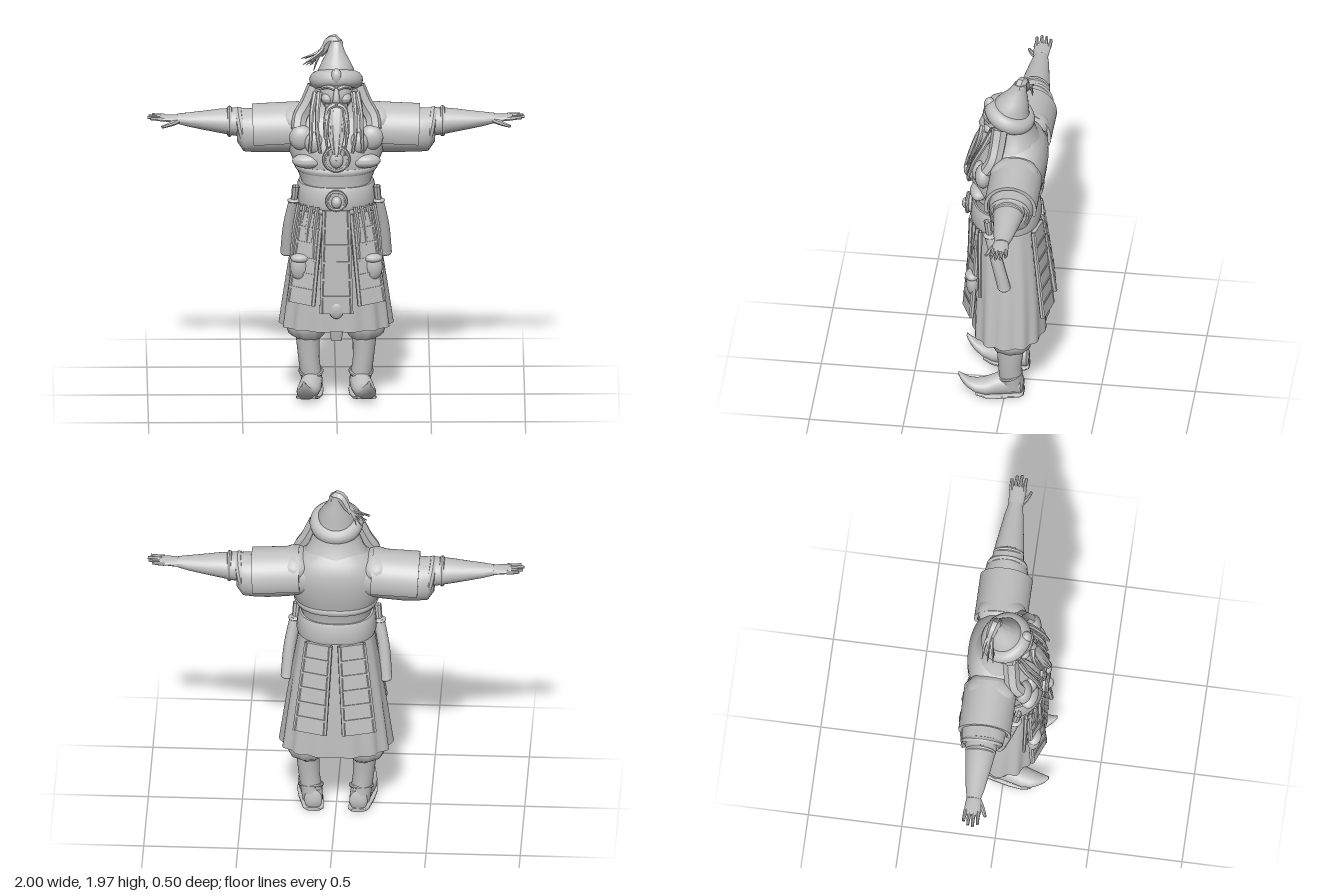
import * as THREE from 'three';
import { toCreasedNormals } from 'three/addons/utils/BufferGeometryUtils.js';

const V = (p) => new THREE.Vector3(...p);

// Capped loft of superellipse rings [u, c1, c2, r1, r2]; u must ascend.
// axis y: c1 = x, c2 = z.  axis x: c1 = z, c2 = y.  axis z: c1 = y, c2 = x.
function loft(axis, rings, { n = 28, e = 2, ripple = 0, waves = 14 } = {}) {
  const pos = [], idx = [];
  const put = (u, a, b) => pos.push(...(axis === 'y' ? [a, u, b] : axis === 'x' ? [u, b, a] : [b, a, u]));
  const pw = (v) => Math.sign(v) * Math.abs(v) ** (2 / e);
  rings.forEach(([u, c1, c2, r1, r2], i) => {
    for (let j = 0; j < n; j++) {
      const t = (j / n) * Math.PI * 2;
      const k = 1 + ripple * Math.cos(t * waves) * (1 - i / (rings.length - 1));
      put(u, c1 + r1 * k * pw(Math.cos(t)), c2 + r2 * k * pw(Math.sin(t)));
    }
  });
  const last = rings.length - 1;
  for (let i = 0; i < last; i++) for (let j = 0; j < n; j++) {
    const a = i * n + j, b = i * n + (j + 1) % n;
    idx.push(a, a + n, b, b, a + n, b + n);
  }
  for (const i of [0, last]) {
    const c = pos.length / 3;
    put(rings[i][0], rings[i][1], rings[i][2]);
    for (let j = 0; j < n; j++) {
      const a = i * n + j, b = i * n + (j + 1) % n;
      idx.push(c, ...(i ? [b, a] : [a, b]));
    }
  }
  const g = new THREE.BufferGeometry();
  g.setAttribute('position', new THREE.Float32BufferAttribute(pos, 3));
  g.setIndex(idx);
  return g;
}

// Tapered tube through a few points
function strand(points, r0, r1, seg = 12, sides = 7) {
  const curve = new THREE.CatmullRomCurve3(points.map(V));
  const g = new THREE.TubeGeometry(curve, seg, 1, sides);
  const p = g.attributes.position, v = new THREE.Vector3();
  for (let i = 0; i < p.count; i++) {
    const t = Math.floor(i / (sides + 1)) / seg, c = curve.getPointAt(t);
    v.fromBufferAttribute(p, i).sub(c).multiplyScalar(r0 + (r1 - r0) * t).add(c);
    p.setXYZ(i, v.x, v.y, v.z);
  }
  return g;
}

const ball = (x, y, z, rx, ry, rz) => new THREE.SphereGeometry(1, 20, 14).scale(rx, ry, rz).translate(x, y, z);

function mirrored(geo) {
  const g = geo.index ? geo.toNonIndexed() : geo.clone();
  g.scale(-1, 1, 1);
  const p = g.attributes.position, a = new THREE.Vector3(), b = new THREE.Vector3();
  for (let i = 0; i < p.count; i += 3) {
    a.fromBufferAttribute(p, i + 1); b.fromBufferAttribute(p, i + 2);
    p.setXYZ(i + 1, b.x, b.y, b.z); p.setXYZ(i + 2, a.x, a.y, a.z);
  }
  return g;
}

export function createModel() {
  const root = new THREE.Group();
  root.name = 'robedWarrior';
  const clay = new THREE.MeshStandardMaterial({ color: 0xc0c0c0, side: THREE.DoubleSide });
  clay.name = 'clayGrey';
  const add = (name, geo) => {
    const g = geo.index ? geo.toNonIndexed() : geo;
    const clean = new THREE.BufferGeometry().setAttribute('position', g.attributes.position);
    const m = new THREE.Mesh(toCreasedNormals(clean, 0.75), clay);
    m.name = name;
    root.add(m);
  };
  const pair = (name, geo) => {
    const other = mirrored(geo);
    add(name + 'Left', geo);
    add(name + 'Right', other);
  };

  // Torso, collar and robe skirt
  add('torso', loft('y', [[1.08, 0, .01, .2, .17], [1.2, 0, .01, .185, .165], [1.28, 0, 0, .215, .18],
    [1.36, 0, -.005, .25, .195], [1.44, 0, -.02, .255, .19], [1.52, 0, -.04, .24, .17],
    [1.58, 0, -.055, .19, .13], [1.62, 0, -.05, .13, .1]], { n: 40, e: 2.3 }));
  add('hoodDrape', loft('y', [[1.52, 0, -.045, .2, .165], [1.57, 0, -.045, .185, .14], [1.62, 0, -.04, .15, .115],
    [1.68, 0, -.03, .125, .105], [1.74, 0, -.02, .11, .1]], { n: 36 }));
  add('skirt', loft('y', [[.4, 0, -.015, .295, .195], [.6, 0, -.012, .27, .19], [.85, 0, -.005, .235, .18],
    [1.1, 0, .01, .195, .17]], { n: 84, e: 2.4, ripple: .035 }));
  add('belt', loft('y', [[1.08, 0, .01, .208, .183], [1.1, 0, .01, .213, .188], [1.18, 0, .01, .205, .18],
    [1.2, 0, .01, .197, .172]], { n: 40, e: 2.3 }));
  add('chestBand', loft('y', [[1.265, 0, 0, .213, .184], [1.275, 0, 0, .22, .19], [1.29, 0, 0, .226, .19],
    [1.3, 0, 0, .224, .184]], { n: 40, e: 2.3 }));

  // Hanging armour panels with plate rows, as [x, z, turn, lean, width, bottom, top]
  const panel = (name, x, z, turn, lean, spread, w, bottom, top, put) => {
    const h = top - bottom;
    const place = (g) => g.rotateX(lean).rotateY(turn).rotateZ(spread).translate(x, top, z);
    put(name, place(loft('y', [[-h, 0, 0, w, .012], [0, 0, 0, w * .78, .012]], { e: 7 })));
    for (let i = 1; i < 6; i++) {
      const f = i / 6;
      put(name + 'Row' + i, place(new THREE.BoxGeometry(w * 2 * (.8 + .16 * f), .01, .034).translate(0, -h * f, 0)));
    }
    for (const s of [-1, 1]) put(name + 'Edge', place(strand([[s * w * .76, 0, 0], [s * w * .97, -h, 0]], .014, .014, 2, 6)));
  };
  panel('frontApron', 0, .19, 0, -.01, 0, .08, .51, 1.08, add);
  panel('frontPanel', .13, .158, .38, -.07, .09, .07, .56, 1.06, pair);
  panel('backPanel', .088, -.165, Math.PI - .2, -.12, .06, .083, .56, 1.08, pair);
  add('apronTip', ball(0, .53, .195, .04, .05, .018));
  add('underSash', loft('y', [[.345, 0, .14, .028, .015], [.42, 0, .15, .04, .02]], { e: 5 }));

  // Medallions and chest ornaments
  for (const [name, y, z, r] of [['chestMedallion', 1.37, .195, .072], ['beltMedallion', 1.14, .205, .055]]) {
    add(name, new THREE.CylinderGeometry(r * .85, r, .03, 28).rotateX(Math.PI / 2).translate(0, y, z));
    add(name + 'Rim', new THREE.TorusGeometry(r * .9, .01, 8, 28).translate(0, y, z + .01));
    add(name + 'Boss', ball(0, y - .005, z + .018, r * .5, r * .6, .025));
  }
  pair('chestRoundel', ball(.185, 1.46, .11, .065, .068, .045));
  pair('chestLobe', ball(.12, 1.44, .14, .05, .06, .04));
  pair('breastPlate', ball(.15, 1.34, .135, .085, .04, .05));
  pair('collarFlap', strand([[.11, 1.72, .03], [.15, 1.63, .04], [.19, 1.56, .055], [.2, 1.5, .09]], .045, .04));

  // Head, beard and braids
  add('head', ball(0, 1.69, .03, .09, .11, .1));
  add('nose', loft('y', [[1.665, 0, .13, .02, .025], [1.68, 0, .135, .019, .023], [1.74, 0, .12, .01, .012]], { n: 12 }));
  pair('brow', strand([[.008, 1.735, .126], [.04, 1.745, .12], [.075, 1.73, .09]], .013, .009));
  pair('cheek', ball(.045, 1.675, .095, .035, .03, .03));
  pair('moustache', strand([[.005, 1.652, .137], [.04, 1.635, .14], [.06, 1.56, .16], [.062, 1.48, .19]], .016, .005));
  add('beard', loft('y', [[1.37, 0, .23, .008, .008], [1.42, 0, .205, .025, .022], [1.5, 0, .17, .042, .035],
    [1.58, 0, .13, .055, .05], [1.65, 0, .1, .06, .04]], { n: 42, ripple: .18, waves: 10 }));
  for (let i = 0; i < 2; i++) {
    pair('beardLock' + i, strand([[.02 + i * .02, 1.62, .14], [.035 + i * .02, 1.5, .185], [.012 + i * .03, 1.39, .215]], .016, .004));
    pair('braid' + i, strand([[.09 + i * .02, 1.7, .07], [.1 + i * .03, 1.6, .12], [.1 + i * .035, 1.5, .17],
      [.085 + i * .055, 1.4, .2]], .016, .008));
  }

  // Pointed hat with fur brim and hanging plume
  add('hatBrim', new THREE.TorusGeometry(.097, .043, 14, 36).rotateX(Math.PI / 2).scale(1.02, 1.1, 1)
    .rotateX(-.38).translate(0, 1.745, -.008));
  add('hatCrown', loft('y', [[1.72, 0, -.01, .105, .105], [1.8, 0, -.008, .096, .1], [1.85, 0, -.028, .07, .078],
    [1.89, 0, -.045, .047, .054], [1.93, 0, -.06, .034, .038], [1.95, 0, -.064, .03, .033]]));
  add('hatPeak', ball(0, 1.795, .1, .03, .045, .03));
  add('plumeStem', strand([[.004, 1.925, -.062], [.002, 1.943, -.065], [-.03, 1.94, -.075], [-.055, 1.9, -.085],
    [-.085, 1.86, -.09]], .034, .018));
  for (let i = 0; i < 9; i++) {
    const a = i / 8;
    add('plumeHair' + i, strand([[-.045, 1.92, -.08], [-.09, 1.875 - .015 * a, -.09 + .02 * Math.sin(i * 2.1)],
      [-.185 + .075 * a, 1.84 - .045 * a - .02 * (i % 2), -.085 + .035 * Math.sin(i * 2.1)]], .016, .002, 8, 5));
  }

  // Sleeves, shoulder guards and forearms
  pair('sleeve', loft('x', [[.12, -.06, 1.47, .12, .11], [.25, -.06, 1.46, .125, .125], [.36, -.07, 1.45, .122, .118],
    [.44, -.07, 1.448, .118, .115], [.49, -.07, 1.45, .112, .113], [.525, -.07, 1.475, .092, .085]], { e: 2.2 }));
  const arc = new THREE.Shape();
  arc.absarc(0, 0, .14, -.35, Math.PI + .35, false);
  arc.absarc(0, 0, .122, Math.PI + .35, -.35, true);
  pair('shoulderGuard', new THREE.ExtrudeGeometry(arc, { depth: .25, bevelEnabled: false, curveSegments: 24 })
    .rotateY(Math.PI / 2).rotateZ(-.05).translate(.19, 1.463, -.065));
  pair('shoulderCap', ball(.22, 1.52, -.06, .1, .08, .13));
  pair('sleeveFold', new THREE.TorusGeometry(.088, .022, 8, 28).rotateY(Math.PI / 2).rotateZ(-.2).translate(.5, 1.465, -.07));
  pair('forearm', loft('x', [[.45, -.07, 1.49, .088, .075], [.54, -.07, 1.495, .084, .074], [.62, -.07, 1.5, .074, .063],
    [.7, -.07, 1.503, .062, .05], [.78, -.07, 1.507, .05, .037], [.84, -.07, 1.512, .037, .026]]));
  pair('cuffFold', new THREE.TorusGeometry(.07, .013, 8, 24).rotateY(Math.PI / 2).translate(.565, 1.497, -.07));

  // Hands
  pair('palm', loft('x', [[.8, -.07, 1.51, .034, .024], [.86, -.068, 1.513, .042, .02], [.91, -.068, 1.517, .045, .015],
    [.935, -.07, 1.519, .04, .011]], { n: 18 }));
  for (let i = 0; i < 4; i++) {
    const z = -.102 + i * .023, tip = [.975, .995, 1, .985][i];
    pair('finger' + i, strand([[.91, z, 0], [.95, z * 1.04, 0], [tip, z * 1.1 + .006, 0]]
      .map(([x, w], k) => [x, 1.518 + k * .003, w]), .0125, .008, 6));
  }
  pair('thumb', strand([[.84, 1.508, -.045], [.88, 1.497, -.018], [.925, 1.488, .004]], .017, .008, 6));

  // Trousers and curled-toe boots
  pair('trouser', loft('y', [[.31, .145, -.035, .062, .07], [.335, .155, -.035, .095, .1], [.38, .16, -.035, .108, .112],
    [.46, .15, -.03, .1, .1]], { n: 56, ripple: .04, waves: 9 }));
  pair('bootShaft', loft('y', [[.04, .125, -.035, .055, .058], [.12, .135, -.03, .056, .062], [.2, .145, -.026, .056, .062],
    [.3, .15, -.03, .062, .072], [.345, .15, -.03, .064, .076]]));
  pair('bootFoot', loft('z', [[-.097, .055, .118, .035, .03], [-.085, .062, .12, .06, .048], [-.03, .068, .127, .067, .055],
    [.04, .062, .137, .061, .06], [.1, .052, .15, .045, .06], [.15, .056, .16, .036, .05], [.19, .076, .166, .03, .036],
    [.222, .105, .17, .026, .02], [.243, .135, .173, .014, .007]]));
  pair('bootSole', loft('z', [[-.1, .01, .118, .01, .035], [-.08, .01, .12, .01, .055], [.03, .01, .137, .01, .066],
    [.1, .016, .15, .01, .064], [.15, .03, .16, .01, .05]], { e: 4 }));
  pair('ankleStrap', new THREE.TorusGeometry(.057, .01, 8, 24).rotateX(Math.PI / 2 + .3).translate(.133, .125, -.028));

  // Gear on the belt: scabbards, pouches, cords
  pair('scabbard', strand([[.222, 1.1, .07], [.25, .95, .03], [.262, .79, -.01]], .03, .034, 8, 10));
  pair('scabbardTip', ball(.262, .79, -.01, .034, .022, .034));
  pair('hilt', strand([[.215, 1.185, .085], [.225, 1.08, .07]], .02, .017, 4, 8));
  pair('hiltGuard', ball(.224, 1.1, .07, .036, .012, .036));
  pair('pouch', ball(.195, .76, .165, .05, .075, .035));
  pair('pouchFlap', ball(.193, .81, .168, .052, .025, .038));
  for (let i = 0; i < 4; i++) {
    pair('hangingCord' + i, strand([[.1 + i * .033, 1.1, .185 - i * .02], [.12 + i * .035, .95, .19 - i * .022],
      [.125 + i * .04, .8 - (i % 2) * .1, .195 - i * .025]], .013, .009, 8, 6));
  }
  return root;
}
